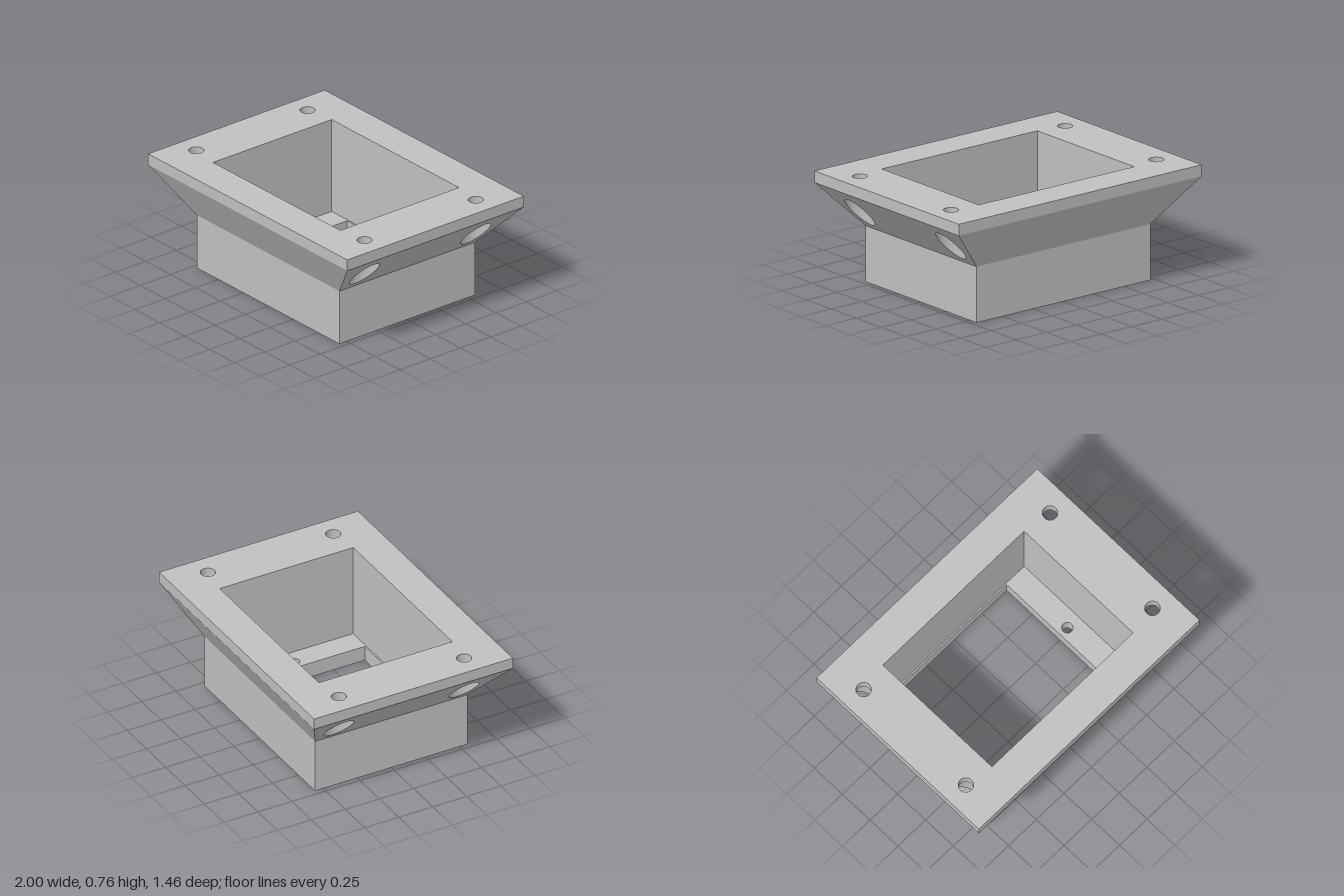
import * as THREE from 'three';

const Y_LEDGE = 0.105, Y_BASE = 0.375, Y_FLARE = 0.68, Y_TOP = 0.757;
const BASE = [0.715, 0.56], PLATE = [1, 0.73], POCKET = [0.64, 0.49], WINDOW = [0.472, 0.48];
const BOLT = [0.845, 0.46], BOLT_R = 0.049, BORE_R = 0.097;
const SCREW_X = 0.538, SCREW_R = 0.036;

export function createModel() {
  const grey = new THREE.MeshStandardMaterial({ color: 0xc0c0c0, side: THREE.DoubleSide });
  grey.name = 'plain grey';
  const model = new THREE.Group();
  model.name = 'flangedHousing';

  const group = (name) => {
    const g = new THREE.Group();
    g.name = name;
    model.add(g);
    return g;
  };
  const add = (parent, name, geometry) => {
    const mesh = new THREE.Mesh(geometry, grey);
    mesh.name = name;
    parent.add(mesh);
    return mesh;
  };

  // Outline of a centred rectangle in plan, as closed [x, z] points
  const loop = ([x, z]) => [[-x, z], [x, z], [x, -z], [-x, -z], [-x, z]];

  // Flat-sided skin between two outlines at two heights
  const skin = (a, y0, b, y1) => {
    const p = [];
    for (let i = 0; i < a.length - 1; i++) {
      const [a0, a1, b0, b1] = [a[i], a[i + 1], b[i], b[i + 1]];
      p.push(a0[0], y0, a0[1], a1[0], y0, a1[1], b1[0], y1, b1[1]);
      p.push(a0[0], y0, a0[1], b1[0], y1, b1[1], b0[0], y1, b0[1]);
    }
    const g = new THREE.BufferGeometry();
    g.setAttribute('position', new THREE.Float32BufferAttribute(p, 3));
    g.computeVertexNormals();
    return g;
  };
  const outerWall = (size, y0, y1) => skin(loop(size), y0, loop(size), y1);
  const innerWall = (size, y0, y1) => skin(loop(size).reverse(), y0, loop(size).reverse(), y1);

  // Horizontal sheet with a rectangular opening and round holes [x, z, r]
  const circle = ([x, z, r]) => new THREE.Path().absarc(x, z, r, 0, Math.PI * 2, true);
  const polygon = (pts, Type) => new Type(pts.map(([x, z]) => new THREE.Vector2(x, z)));
  const sheet = (size, opening, holes, y, up) => {
    const shape = polygon(loop(size), THREE.Shape);
    shape.holes.push(polygon(loop(opening), THREE.Path), ...holes.map(circle));
    return new THREE.ShapeGeometry(shape, 24)
      .rotateX(up ? -Math.PI / 2 : Math.PI / 2).translate(0, y, 0);
  };
  const tube = (r, y0, y1) =>
    new THREE.CylinderGeometry(r, r, y1 - y0, 48, 1, true).translate(0, (y0 + y1) / 2, 0);

  const corners = [];
  for (const sx of [-1, 1]) for (const sz of [-1, 1]) corners.push([sx * BOLT[0], sz * BOLT[1]]);
  const bolts = corners.map(([x, z]) => [x, z, BOLT_R]);
  const screws = [[-SCREW_X, 0, SCREW_R], [SCREW_X, 0, SCREW_R]];

  // Mounting plate
  const plate = group('mountingPlate');
  add(plate, 'plateTop', sheet(PLATE, POCKET, bolts, Y_TOP, true));
  add(plate, 'plateEdge', outerWall(PLATE, Y_FLARE, Y_TOP));

  // Flared body: plain front and back, bored left and right
  const flare = group('flare');
  const slopeY = (x) =>
    Y_BASE + (Math.abs(x) - BASE[0]) * (Y_FLARE - Y_BASE) / (PLATE[0] - BASE[0]);
  for (const side of [0, 1]) {
    const front = skin(loop(BASE).slice(0, 2), Y_BASE, loop(PLATE).slice(0, 2), Y_FLARE);
    add(flare, side ? 'flareBack' : 'flareFront', front.rotateY(side * Math.PI));

    const shape = polygon([[BASE[0], -BASE[1]], [PLATE[0], -PLATE[1]],
      [PLATE[0], PLATE[1]], [BASE[0], BASE[1]]], THREE.Shape);
    for (const s of [-1, 1]) shape.holes.push(circle([BOLT[0], s * BOLT[1], BORE_R]));
    const end = new THREE.ShapeGeometry(shape, 24).rotateX(Math.PI / 2);
    const p = end.attributes.position;
    for (let i = 0; i < p.count; i++) p.setY(i, slopeY(p.getX(i)));
    end.computeVertexNormals();
    add(flare, side ? 'flareRight' : 'flareLeft', end.rotateY(side * Math.PI));
  }

  // Bolt holes, opening into wider bores cut through the slopes
  const boltHoles = group('boltHoles');
  for (const [x, z] of corners) {
    add(boltHoles, 'boltHole', tube(BOLT_R, Y_FLARE, Y_TOP)).position.set(x, 0, z);
    const bore = tube(BORE_R, 0, Y_FLARE).translate(x, 0, z);
    const p = bore.attributes.position;
    for (let i = 0; i < p.count; i++) if (p.getY(i) < 0.1) p.setY(i, slopeY(p.getX(i)));
    add(boltHoles, 'bore', bore);
    add(boltHoles, 'boreSeat', new THREE.RingGeometry(BOLT_R, BORE_R, 48)
      .rotateX(Math.PI / 2).translate(x, Y_FLARE, z));
  }

  // Base
  const base = group('base');
  add(base, 'baseWall', outerWall(BASE, 0, Y_BASE));
  add(base, 'baseBottom', sheet(BASE, WINDOW, screws, 0, false));

  // Pocket with a ledge around the through window
  const pocket = group('pocket');
  add(pocket, 'pocketWall', innerWall(POCKET, Y_LEDGE, Y_TOP));
  add(pocket, 'ledge', sheet(POCKET, WINDOW, screws, Y_LEDGE, true));
  add(pocket, 'windowWall', innerWall(WINDOW, 0, Y_LEDGE));
  for (const [x, z, r] of screws) {
    add(pocket, 'screwHole', tube(r, 0, Y_LEDGE)).position.set(x, 0, z);
  }

  return model;
}
